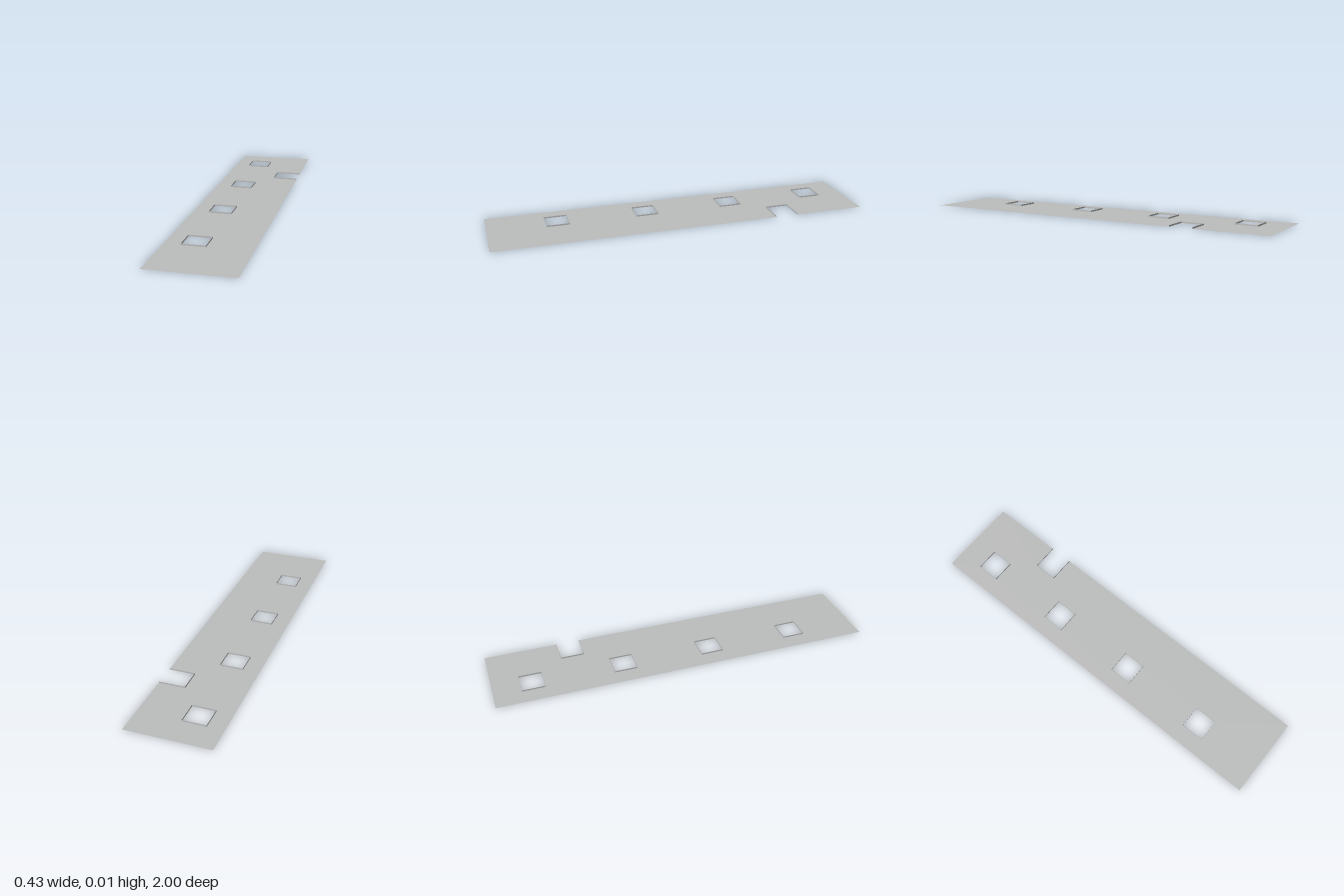
import * as THREE from 'three';

const HALF_W = 0.215, RIM = 0.008;

export function createModel() {
  const group = new THREE.Group();
  const grey = new THREE.MeshStandardMaterial({ color: 0xbcbebd, side: THREE.DoubleSide });
  grey.name = 'light grey';

  // Square openings and the notch in the left edge, as plan-view corners
  const x0 = -0.13, x1 = -0.01, size = 0.12;
  const holes = [-0.86, -0.38, 0.096, 0.575].map(z => [[x0, z], [x1, z], [x1, z + size], [x0, z + size], [x0, z]]);
  const notch = [[HALF_W, -0.618], [0.078, -0.618], [0.078, -0.495], [HALF_W, -0.495]];

  // Flat sheet; shape y becomes -z when laid down
  const toPoints = list => list.map(([x, z]) => new THREE.Vector2(x, -z));
  const outline = [[-HALF_W, 1], [HALF_W, 1], ...[...notch].reverse(), [HALF_W, -1], [-HALF_W, -1]];
  const shape = new THREE.Shape(toPoints(outline));
  holes.forEach(h => shape.holes.push(new THREE.Path(toPoints(h.slice(0, 4)))));
  const sheet = new THREE.Mesh(new THREE.ShapeGeometry(shape).rotateX(-Math.PI / 2), grey);
  sheet.name = 'floorSheet';
  group.add(sheet);

  // Thin upright lips around every opening
  function addRim(name, corners) {
    const rim = new THREE.Group();
    rim.name = name;
    for (let i = 0; i < corners.length - 1; i++) {
      const [ax, az] = corners[i], [bx, bz] = corners[i + 1];
      const lip = new THREE.Mesh(new THREE.PlaneGeometry(Math.hypot(bx - ax, bz - az), RIM), grey);
      lip.position.set((ax + bx) / 2, RIM / 2, (az + bz) / 2);
      lip.rotation.y = Math.atan2(az - bz, bx - ax);
      lip.name = 'lip';
      rim.add(lip);
    }
    group.add(rim);
  }
  holes.forEach((h, i) => addRim('holeRim' + (i + 1), h));
  addRim('notchRim', [...notch].reverse());

  return group;
}
